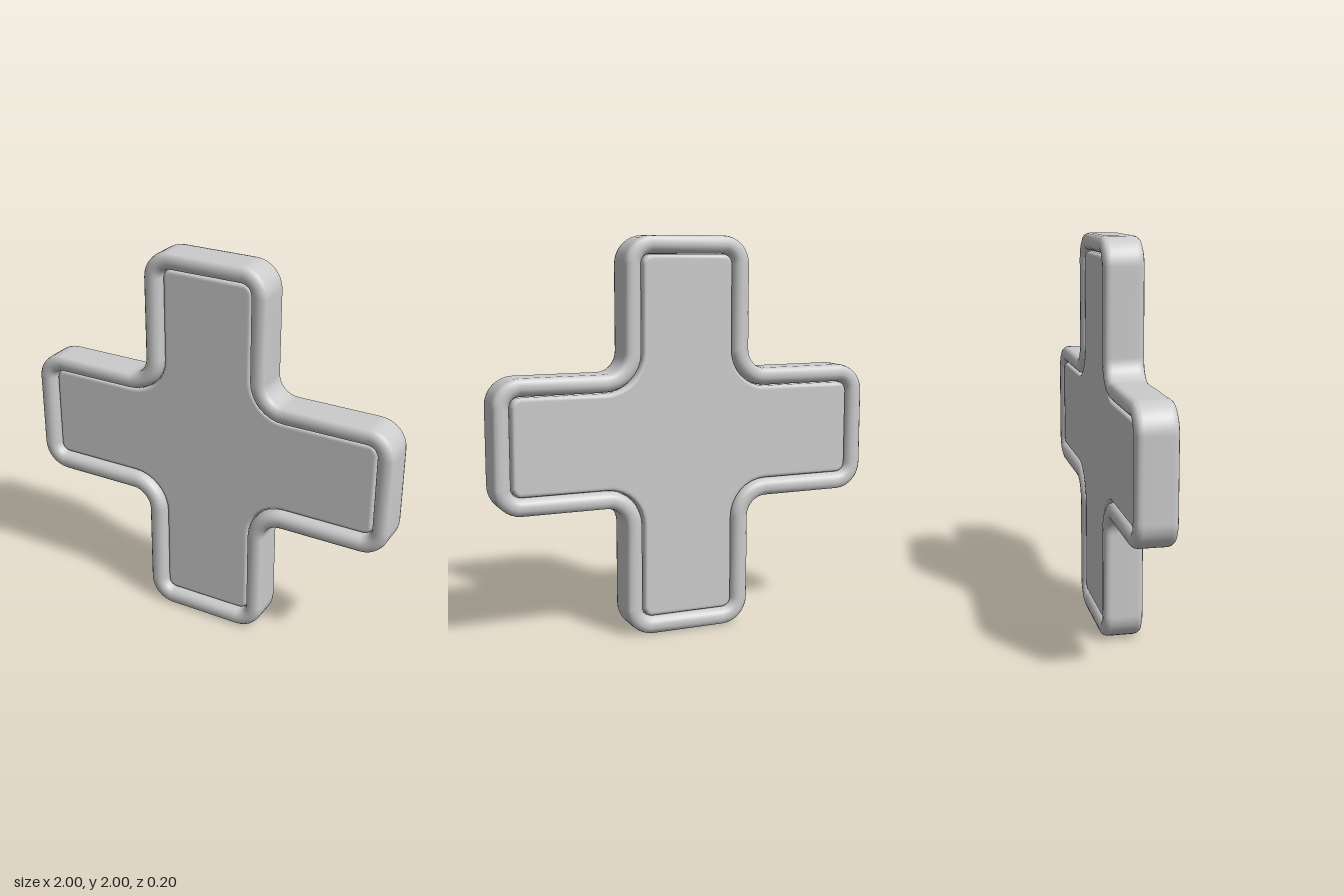
import * as THREE from 'three';

const R_TIP = 0.14, R_INNER = 0.1, HALF = 0.333, STEPS = 8;
const Q = Math.PI / 2;

// Rounded cross outline, counter-clockwise, moved inward by d
function outline(d) {
  const points = [];
  const arc = (cx, cy, r, start, sweep) => {
    for (let i = 0; i <= STEPS; i++) {
      const a = start + (sweep * i) / STEPS;
      points.push(new THREE.Vector2(cx + r * Math.cos(a), cy + r * Math.sin(a)));
    }
  };
  for (let k = 0; k < 4; k++) {
    const first = points.length;
    arc(1 - R_TIP, R_TIP - HALF, R_TIP - d, -Q, Q);
    arc(1 - R_TIP, HALF - R_TIP, R_TIP - d, 0, Q);
    arc(HALF + R_INNER, HALF + R_INNER, R_INNER + d, -Q, -Q);
    for (let i = first; i < points.length; i++) {
      points[i].rotateAround(new THREE.Vector2(), k * Q);
    }
  }
  return points;
}

// Sweep a front-to-back [inset, z] profile around the outline
function sweepProfile(profile) {
  const rings = profile.map(([d]) => outline(d));
  const n = rings[0].length;
  const positions = [], index = [];
  rings.forEach((ring, j) => ring.forEach((p) => positions.push(p.x, p.y, profile[j][1])));
  for (let j = 0; j < rings.length - 1; j++) {
    for (let i = 0; i < n; i++) {
      const next = (i + 1) % n;
      const a = j * n + i, b = a + n, c = (j + 1) * n + next, e = j * n + next;
      index.push(a, b, c, a, c, e);
    }
  }
  const geometry = new THREE.BufferGeometry();
  geometry.setAttribute('position', new THREE.Float32BufferAttribute(positions, 3));
  geometry.setIndex(index);
  geometry.computeVertexNormals();
  return geometry;
}

export function createModel() {
  const model = new THREE.Group();
  model.name = 'cross';
  const material = new THREE.MeshStandardMaterial({ color: 0xcccccc });
  const add = (name, geometry) => {
    const mesh = new THREE.Mesh(geometry, material);
    mesh.name = name;
    mesh.position.y = 1;
    model.add(mesh);
    return mesh;
  };

  // Raised rounded border, the same on both sides
  const rimFront = [
    [0.09, 0.042], [0.088, 0.064], [0.081, 0.082], [0.068, 0.094], [0.052, 0.1],
    [0.032, 0.1], [0.014, 0.094], [0.004, 0.082], [0, 0.064],
  ];
  const rimBack = rimFront.map(([d, z]) => [d, -z]).reverse();
  add('rim', sweepProfile([...rimFront, ...rimBack]));

  // Panel with softened edges: recessed at the front, nearly flush at the back
  const front = 0.062, back = -0.086, inset = 0.115;
  add('panelEdge', sweepProfile([
    [inset, front], [0.105, front], [0.098, front - 0.005], [0.092, front - 0.018],
    [0.092, back + 0.018], [0.098, back + 0.005], [0.105, back], [inset, back],
  ]));
  const face = new THREE.ShapeGeometry(new THREE.Shape(outline(inset)));
  add('panelFront', face).position.z = front;
  const backFace = add('panelBack', face);
  backFace.position.z = back;
  backFace.rotation.y = Math.PI;

  return model;
}
